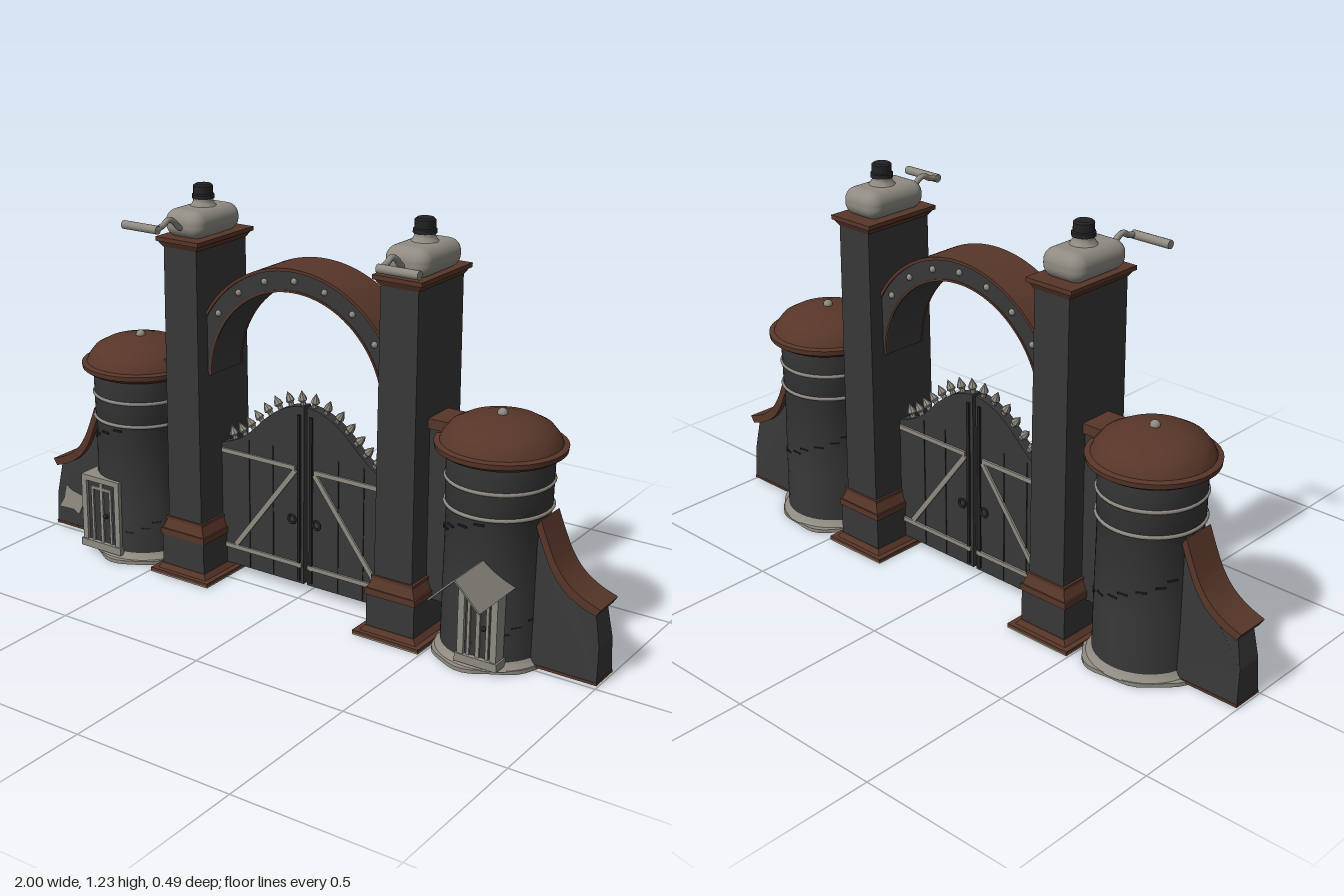
import * as THREE from 'three';
import { RoundedBoxGeometry } from 'three/addons/geometries/RoundedBoxGeometry.js';
import { toCreasedNormals } from 'three/addons/utils/BufferGeometryUtils.js';

const mat = (name, color, extra = {}) => {
  const m = new THREE.MeshStandardMaterial({ color, ...extra });
  m.name = name;
  return m;
};
const ZC = -0.058; // shared centre plane of the gate

export function createModel() {
  const root = new THREE.Group();
  root.name = 'gate';
  const dark = mat('darkStone', 0x383838);
  const brown = mat('rustBrown', 0x583629);
  const grey = mat('paleMetal', 0x8f8b82);
  const sheet = mat('canopySheet', 0x87827a, { side: THREE.DoubleSide });
  const black = mat('blackCap', 0x232325);

  const add = (parent, name, geo, material, x = 0, y = 0, z = 0) => {
    const m = new THREE.Mesh(geo, material);
    m.name = name;
    m.position.set(x, y, z);
    parent.add(m);
    return m;
  };
  const group = (name) => {
    const g = new THREE.Group();
    g.name = name;
    root.add(g);
    return g;
  };
  // box given by its centre x and z, and its bottom and top
  const block = (parent, name, material, x, z, w, d, y0, y1) =>
    add(parent, name, new THREE.BoxGeometry(w, y1 - y0, d), material, x, (y0 + y1) / 2, z);
  // four-sided tapering block
  const taper = (parent, name, material, x, w0, d0, w1, d1, y0, y1) => {
    const geo = new THREE.BoxGeometry(1, y1 - y0, 1);
    const p = geo.attributes.position;
    for (let i = 0; i < p.count; i++) {
      const top = p.getY(i) > 0;
      p.setX(i, p.getX(i) * (top ? w1 : w0));
      p.setZ(i, p.getZ(i) * (top ? d1 : d0));
    }
    geo.computeVertexNormals();
    return add(parent, name, geo, material, x, (y0 + y1) / 2, ZC);
  };
  const lathe = (points, n = 40) =>
    toCreasedNormals(new THREE.LatheGeometry(points.map(([r, y]) => new THREE.Vector2(r, y)), n), 0.6);
  // outline extruded evenly around z = 0
  const slab = (points, depth) => {
    const shape = new THREE.Shape(points.map(([x, y]) => new THREE.Vector2(x, y)));
    return new THREE.ExtrudeGeometry(shape, { depth, bevelEnabled: false }).translate(0, 0, -depth / 2);
  };
  // flat bar between two points in the xy plane
  const bar = (parent, name, material, a, b, width, depth, z) => {
    const dx = b[0] - a[0], dy = b[1] - a[1];
    const m = add(parent, name, new THREE.BoxGeometry(Math.hypot(dx, dy), width, depth), material,
      (a[0] + b[0]) / 2, (a[1] + b[1]) / 2, z);
    m.rotation.z = Math.atan2(dy, dx);
    return m;
  };

  for (const s of [-1, 1]) {
    const side = s < 0 ? 'right' : 'left';

    // Pillar with stepped base and cornice
    const pillar = group(side + 'Pillar');
    const px = s * 0.382;
    block(pillar, 'footUnderside', grey, px, ZC, 0.225, 0.33, 0, 0.004);
    block(pillar, 'footPlate', brown, px, ZC, 0.225, 0.33, 0.004, 0.014);
    taper(pillar, 'footSlope', brown, px, 0.19, 0.30, 0.166, 0.282, 0.014, 0.03);
    block(pillar, 'baseBlock', dark, px, ZC, 0.162, 0.278, 0.03, 0.135);
    block(pillar, 'baseTrim', brown, px, ZC, 0.17, 0.285, 0.13, 0.15);
    taper(pillar, 'baseSlope', brown, px, 0.16, 0.276, 0.136, 0.258, 0.15, 0.18);
    block(pillar, 'baseCollar', brown, px, ZC, 0.142, 0.264, 0.18, 0.19);
    taper(pillar, 'shaft', dark, px, 0.128, 0.252, 0.122, 0.242, 0.15, 1.065);
    taper(pillar, 'corniceSlope', brown, px, 0.124, 0.245, 0.15, 0.264, 1.055, 1.073);
    block(pillar, 'cornice', brown, px, ZC, 0.16, 0.272, 1.073, 1.086);

    // Crank housing on the pillar
    const crank = group(side + 'Crank');
    add(crank, 'housing', new RoundedBoxGeometry(0.142, 0.085, 0.218, 5, 0.038), grey, s * 0.386, 1.124, ZC + 0.005);
    add(crank, 'neck', lathe([[0.05, 1.155], [0.036, 1.17], [0.03, 1.18], [0.03, 1.195], [0, 1.195]], 20), grey, s * 0.386, 0, ZC);
    add(crank, 'cap', lathe([[0.034, 1.188], [0.034, 1.2], [0.03, 1.203], [0.03, 1.226], [0.024, 1.231], [0, 1.231]], 12), black, s * 0.386, 0, ZC);
    const path = new THREE.CatmullRomCurve3([[0.03, 1.117], [0.062, 1.12], [0.085, 1.142], [0.11, 1.152], [0.135, 1.14], [0.168, 1.133]]
      .map(([z, y]) => new THREE.Vector3(s * 0.384, y, z)));
    add(crank, 'arm', new THREE.TubeGeometry(path, 20, 0.009, 8), grey);
    add(crank, 'handle', new THREE.CylinderGeometry(0.013, 0.013, 0.13, 12), grey, s * 0.442, 1.133, 0.166).rotation.z = Math.PI / 2;

    // Round tower
    const tower = group(side + 'Tower');
    const tx = s * 0.648;
    add(tower, 'wall', lathe([[0.154, 0.015], [0.152, 0.2], [0.148, 0.455], [0.151, 0.46], [0.153, 0.61], [0, 0.61]]), dark, tx, 0, ZC);
    for (const y of [0.458, 0.534])
      add(tower, 'band', new THREE.TorusGeometry(0.152, 0.006, 6, 40).rotateX(Math.PI / 2), grey, tx, y, ZC);
    add(tower, 'roof', lathe([[0.14, 0.602], [0.166, 0.606], [0.186, 0.619], [0.188, 0.634], [0.172, 0.638], [0.165, 0.655],
      [0.145, 0.68], [0.11, 0.699], [0.06, 0.712], [0, 0.716]]), brown, tx, 0, ZC);
    add(tower, 'finial', new THREE.SphereGeometry(0.015, 12, 8), grey, tx, 0.717, ZC);
    // Splashed plaster foot with a wavy outline
    const foot = [];
    for (let i = 0; i < 48; i++) {
      const a = (i / 48) * Math.PI * 2;
      const r = 0.176 + 0.008 * Math.sin(3 * a + s) + 0.005 * Math.sin(7 * a);
      foot.push([r * Math.cos(a), r * Math.sin(a)]);
    }
    const footGeo = slab(foot, 0.012).rotateX(-Math.PI / 2);
    add(tower, 'foot', footGeo, grey, tx, 0.006, ZC);
    add(tower, 'footSkirt', lathe([[0.172, 0.01], [0.16, 0.02], [0.152, 0.034]]), grey, tx, 0, ZC);
    // Scattered brick marks
    for (let i = 0; i < 22; i++) {
      const a = i * 2.4, y = 0.08 + ((i * 0.137) % 0.36);
      const brick = block(tower, 'brickMark', black, tx + 0.1505 * Math.sin(a), ZC + 0.1505 * Math.cos(a), 0.03, 0.006, y, y + 0.005);
      brick.rotation.y = a;
    }

    // Short wall joining tower and pillar
    const link = group(side + 'LinkWall');
    block(link, 'linkWall', dark, s * 0.48, ZC, 0.1, 0.09, 0.12, 0.645);
    block(link, 'linkCoping', brown, s * 0.48, ZC, 0.1, 0.11, 0.645, 0.675);

    // Sweeping outer wing wall
    const wing = group(side + 'Wing');
    const curve = new THREE.SplineCurve([[1.0, 0.237], [0.945, 0.258], [0.895, 0.292], [0.858, 0.34], [0.83, 0.4], [0.808, 0.455]]
      .map(([x, y]) => new THREE.Vector2(s * x, y))).getPoints(20);
    const sweep = curve.map((p) => [p.x, p.y]);
    const under = sweep.map(([x, y]) => [x - s * 0.014, y - 0.022]);
    add(wing, 'coping', slab([...sweep, ...under.reverse()], 0.108), brown, 0, 0, ZC);
    const wallGeo = slab([[s * 0.998, 0.012], [s * 0.996, 0.12], [s * 0.975, 0.235],
      ...sweep.slice(5).map(([x, y]) => [x - s * 0.007, y - 0.011]), [s * 0.74, 0.455], [s * 0.74, 0.012]], 0.1);
    const wp = wallGeo.attributes.position;
    for (let i = 0; i < wp.count; i++) wp.setZ(i, wp.getZ(i) * (1 - 1.3 * Math.min(wp.getY(i), 0.23)));
    wallGeo.computeVertexNormals();
    add(wing, 'wall', wallGeo, dark, 0, 0, ZC);
    block(wing, 'sill', brown, s * 0.895, ZC, 0.208, 0.102, 0.006, 0.014);

    // Gate leaf with curved top
    const leaf = group(side + 'GateLeaf');
    const top = new THREE.SplineCurve([[0.006, 0.608], [0.05, 0.6], [0.1, 0.578], [0.15, 0.54], [0.2, 0.492], [0.25, 0.455], [0.316, 0.43]]
      .map(([x, y]) => new THREE.Vector2(s * x, y)));
    add(leaf, 'panel', slab([[s * 0.006, 0.03], ...top.getPoints(18).map((p) => [p.x, p.y]), [s * 0.316, 0.03]], 0.036), dark, 0, 0, ZC);
    for (let i = 0; i < 8; i++) {
      const u = 0.04 + i * 0.12, p = top.getPointAt(u), t = top.getTangentAt(u);
      const spike = add(leaf, 'spike', lathe([[0.009, -0.008], [0.008, 0.01], [0.014, 0.016], [0.011, 0.026], [0, 0.046]], 8), grey, p.x, p.y, ZC);
      spike.rotation.z = Math.atan2(t.y, t.x) + (s < 0 ? Math.PI : 0);
    }
    for (const f of [-1, 1]) {
      const z = ZC + f * 0.021;
      bar(leaf, 'topStrap', grey, [s * 0.035, 0.408], [s * 0.312, 0.408], 0.014, 0.008, z);
      bar(leaf, 'bottomStrap', grey, [s * 0.012, 0.092], [s * 0.312, 0.092], 0.014, 0.008, z);
      bar(leaf, 'brace', grey, [s * 0.035, 0.4], [s * 0.262, 0.1], 0.016, 0.007, z);
      bar(leaf, 'upright', black, [s * 0.022, 0.04], [s * 0.022, 0.58], 0.01, 0.006, z);
      for (const x of [0.12, 0.21]) bar(leaf, 'plankGap', black, [s * x, 0.035], [s * x, 0.46], 0.003, 0.003, z - f * 0.002);
      add(leaf, 'handle', new THREE.TorusGeometry(0.013, 0.004, 6, 14), black, s * 0.045, 0.24, z + f * 0.004);
    }
  }

  // Arch: dark ring, brown outer band, thin inner edges, rivets
  const arch = group('arch');
  const ring = (r0, r1, depth) => {
    const shape = new THREE.Shape();
    shape.absarc(0, 0, r1, 0, Math.PI, false);
    shape.absarc(0, 0, r0, Math.PI, 0, true);
    return toCreasedNormals(new THREE.ExtrudeGeometry(shape, { depth, bevelEnabled: false, curveSegments: 40 })
      .translate(0, 0, -depth / 2), 0.5);
  };
  add(arch, 'archRing', ring(0.308, 0.37, 0.15), dark, 0, 0.665, ZC);
  add(arch, 'archBand', ring(0.368, 0.377, 0.16), brown, 0, 0.665, ZC);
  for (const f of [-1, 1]) {
    add(arch, 'innerEdge', ring(0.306, 0.312, 0.006), brown, 0, 0.665, ZC + f * 0.075);
    for (let i = 0; i < 7; i++) {
      const a = Math.PI * (0.2 + i * 0.1);
      add(arch, 'rivet', new THREE.SphereGeometry(0.01, 10, 6), grey, 0.341 * Math.cos(a), 0.665 + 0.341 * Math.sin(a), ZC + f * 0.076);
    }
  }

  // Tower doorways: pale frame around dark panels
  const doorway = (name, x, w, y1) => {
    const g = group(name);
    block(g, 'recess', dark, x, 0.055, w - 0.02, 0.08, 0.035, y1 - 0.01);
    for (const e of [-1, 1]) {
      block(g, 'jamb', grey, x + e * (w / 2 - 0.01), 0.065, 0.02, 0.08, 0.03, y1);
      block(g, 'doorStile', grey, x + e * w * 0.24, 0.097, 0.009, 0.008, 0.045, y1 - 0.035);
    }
    block(g, 'lintel', grey, x, 0.065, w, 0.08, y1 - 0.018, y1);
    block(g, 'threshold', grey, x, 0.07, w + 0.01, 0.08, 0.02, 0.045);
    block(g, 'midStile', grey, x, 0.097, 0.012, 0.008, 0.045, y1 - 0.02);
    block(g, 'doorRail', grey, x, 0.097, w * 0.5, 0.008, y1 - 0.045, y1 - 0.035);
    add(g, 'knob', new THREE.SphereGeometry(0.008, 10, 8), black, x + 0.02, 0.14, 0.104);
    return g;
  };
  doorway('rightDoorway', -0.7, 0.155, 0.268);
  const porch = doorway('leftDoorway', 0.682, 0.125, 0.255);

  // Gabled canopy over the left doorway
  for (const e of [-1, 1])
    bar(porch, 'canopy', sheet, [0.682, 0.335], [0.682 + e * 0.08, 0.256], 0.005, 0.2, 0.142);
  add(porch, 'gable', slab([[-0.07, 0], [0.07, 0], [0, 0.07]], 0.06), dark, 0.682, 0.255, 0.065);

  // Torn notice on the right wing
  const notice = add(root, 'notice', slab([[-0.955, 0.148], [-0.935, 0.135], [-0.87, 0.122], [-0.9, 0.058], [-0.925, 0.07], [-0.985, 0.068], [-0.965, 0.1]], 0.008), grey, 0, 0, -0.009);
  notice.rotation.x = -0.06;

  return root;
}
